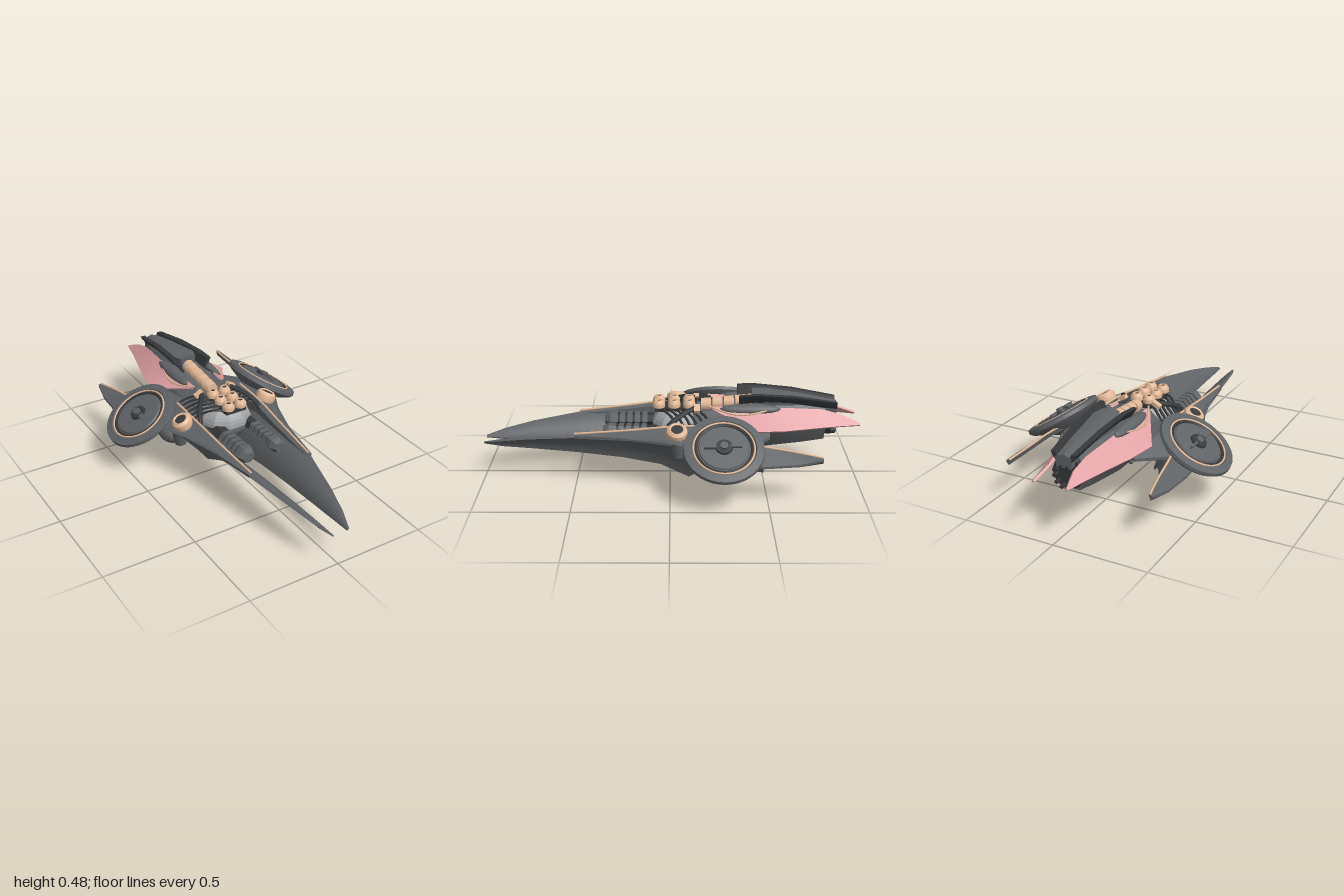
import * as THREE from 'three';
import { toCreasedNormals, mergeGeometries } from 'three/addons/utils/BufferGeometryUtils.js';

const V = (p) => new THREE.Vector3(...p);
const mat = (name, color) => {
  const m = new THREE.MeshStandardMaterial({ color });
  m.name = name;
  return m;
};

// Skin between closed rings of points, capped at both ends, turned outward.
function loft(rings, crease = 0.5) {
  const pos = [], n = rings[0].length;
  const tri = (a, b, c) => pos.push(...a, ...b, ...c);
  for (let i = 0; i < rings.length - 1; i++) {
    for (let j = 0; j < n; j++) {
      const k = (j + 1) % n, A = rings[i], B = rings[i + 1];
      tri(A[j], B[j], B[k]);
      tri(A[j], B[k], A[k]);
    }
  }
  // caps as strips, so that long thin curved sections stay filled
  const cap = (r, flip) => {
    for (let a = 0, b = n - 1; b - a > 1; a++, b--) {
      const quad = [[r[a], r[a + 1], r[b]], [r[a + 1], r[b - 1], r[b]]];
      for (const [p, q, s] of quad) flip ? tri(p, s, q) : tri(p, q, s);
    }
  };
  cap(rings[0], false);
  cap(rings[rings.length - 1], true);
  let vol = 0;
  for (let i = 0; i < pos.length; i += 9) {
    vol += V(pos.slice(i, i + 3)).dot(V(pos.slice(i + 3, i + 6)).cross(V(pos.slice(i + 6, i + 9))));
  }
  const g = new THREE.BufferGeometry();
  g.setAttribute('position', new THREE.Float32BufferAttribute(pos, 3));
  if (vol < 0) flipFaces(g);
  return toCreasedNormals(g, crease);
}

function flipFaces(g) {
  for (const a of Object.values(g.attributes)) {
    const s = a.itemSize, d = a.array;
    for (let i = 0; i < a.count; i += 3) {
      for (let c = 0; c < s; c++) {
        const p = (i + 1) * s + c, q = (i + 2) * s + c;
        [d[p], d[q]] = [d[q], d[p]];
      }
    }
  }
}

// Mirror image across x = 0 with faces still turned outward.
function mirrored(geo) {
  const g = geo.index ? geo.toNonIndexed() : geo.clone();
  g.scale(-1, 1, 1);
  flipFaces(g);
  return g;
}

const tube = (pts, r, seg = 16, sides = 6) =>
  new THREE.TubeGeometry(new THREE.CatmullRomCurve3(pts.map(V)), seg, r, sides);
const box = (w, h, d, x, y, z) => new THREE.BoxGeometry(w, h, d).translate(x, y, z);
const cyl = (r1, r2, h, n, y = 0) => new THREE.CylinderGeometry(r1, r2, h, n).translate(0, y, 0);
const lathe = (pts, n = 40) =>
  toCreasedNormals(new THREE.LatheGeometry(pts.map((p) => new THREE.Vector2(...p)), n), 0.6);
const ringGeo = (r, t, y) => new THREE.TorusGeometry(r, t, 6, 40).rotateX(Math.PI / 2).translate(0, y, 0);

export function createModel() {
  const group = new THREE.Group();
  const hull = mat('hull grey', 0x606366), dark = mat('dark metal', 0x36383a);
  const tan = mat('tan trim', 0xe4ba98), pink = mat('pink panel', 0xe0a1a4);
  const glass = mat('light grey', 0xa0a2a4);
  const add = (name, geo, m) => {
    const mesh = new THREE.Mesh(geo, m);
    mesh.name = name;
    group.add(mesh);
  };
  const pair = (name, geo, m) => {
    add('left' + name, geo, m);
    add('right' + name, mirrored(geo), m);
  };

  // Curved blades: z, outer edge x y, keel edge x y
  const blade = [
    [1, .05, .19, .04, .18], [.9, .085, .215, .045, .17], [.75, .125, .243, .047, .16],
    [.5, .18, .275, .052, .14], [.25, .225, .29, .058, .112], [.05, .285, .297, .064, .075],
    [-.1, .36, .297, .068, .003], [-.15, .362, .292, .1, .045], [-.2, .36, .28, .135, .08],
    [-.32, .355, .25, .21, .12], [-.48, .32, .17, .29, .13],
  ];
  pair('Blade', loft(blade.map(([z, ox, oy, ix, iy]) => {
    const top = [], bottom = [], dx = ox - ix, dy = oy - iy, len = Math.hypot(dx, dy);
    for (let i = 0; i <= 8; i++) {
      const t = i / 8, b = 0.55 * t * (1 - t), h = Math.min(.007, len * .2);
      const x = ix + dx * t - dy * b, y = iy + dy * t + dx * b;
      top.push([x - dy / len * h, y + dx / len * h, z]);
      bottom.unshift([x + dy / len * h, y - dx / len * h, z]);
    }
    return [...top, ...bottom];
  })), hull);

  // Shoulder fairings: z, inner x, ridge x, outer x, low y, high y
  const fairing = [
    [.5, .16, .172, .188, .268, .286], [.2, .165, .19, .238, .275, .315], [0, .175, .2, .3, .275, .338],
    [-.2, .12, .2, .34, .26, .345], [-.4, .12, .19, .31, .25, .315], [-.52, .12, .15, .18, .26, .29],
  ];
  pair('Shoulder', loft(fairing.map(([z, a, b, c, lo, hi]) =>
    [[a, lo, z], [a, hi - .012, z], [b, hi, z], [c, lo + .015, z], [c, lo, z]])), hull);
  pair('ShoulderTrim', tube(fairing.slice(0, 4).map((f) => [f[2], f[5] + .002, f[0]]), .006), tan);

  // Central body: z, half width, low y, high y
  const body = [
    [-.1, .11, .19, .35], [-.3, .15, .185, .395], [-.5, .15, .185, .405],
    [-.7, .115, .2, .405], [-.82, .085, .212, .395],
  ];
  add('body', loft(body.map(([z, w, lo, hi]) => {
    const m = (lo + hi) / 2;
    return [[w * .45, hi, z], [w * .9, m + .04, z], [w, m - .01, z], [w * .55, lo, z],
      [-w * .55, lo, z], [-w, m - .01, z], [-w * .9, m + .04, z], [-w * .45, hi, z]];
  })), hull);
  add('noseBall', new THREE.SphereGeometry(1, 16, 10).scale(.13, .075, .125).translate(0, .262, -.03), hull);
  add('windscreen', toCreasedNormals(new THREE.SphereGeometry(1, 10, 8, 0, Math.PI * 2, 0, Math.PI / 2)
    .scale(.145, .105, .135).translate(0, .283, -.035), .2), glass);

  // Roof ridge and its dark rails
  const roof = [[-.43, .045, .48], [-.5, .07, .475], [-.7, .055, .45], [-.88, .045, .415]];
  add('roof', loft(roof.map(([z, w, y]) =>
    [[0, y, z], [w, y - .014, z], [w * .9, y - .07, z], [-w * .9, y - .07, z], [-w, y - .014, z]])), hull);
  const rail = [[-.36, .082, .105, .47], [-.45, .07, .1, .474], [-.65, .055, .088, .458], [-.88, .042, .068, .42]];
  pair('RoofRail', loft(rail.map(([z, a, b, y]) =>
    [[a, y, z], [b, y, z], [b - .008, y - .018, z], [a - .008, y - .052, z], [a - .02, y - .05, z]])), dark);

  // Rear pink panels: z, upper x y, lower x y
  const panel = [
    [-.22, .085, .41, .105, .4], [-.3, .09, .412, .15, .372], [-.45, .095, .41, .235, .325],
    [-.6, .092, .404, .2, .316], [-.8, .075, .39, .145, .314], [-.9, .068, .36, .118, .312],
    [-1, .09, .318, .098, .31],
  ];
  pair('RearPanel', loft(panel.map(([z, a, b, c, d]) =>
    [[a, b, z], [c, d, z], [c - .008, d - .008, z], [a - .008, b - .008, z]])), pink);
  pair('PanelBulge', new THREE.SphereGeometry(1, 16, 10).scale(.032, .022, .16)
    .rotateZ(-.5).translate(.102, .402, -.42), hull);
  pair('PanelTrim', tube([[.085, .413, -.2], [.12, .396, -.27], [.145, .384, -.36], [.135, .392, -.46], [.1, .41, -.56]], .005), tan);

  // Rear exhaust with a ring of pipes
  add('exhaust', new THREE.CylinderGeometry(.085, .075, .05, 8).rotateX(-Math.PI / 2)
    .translate(0, .305, -.825), dark);
  const pipes = [];
  for (let i = 0; i < 10; i++) {
    const a = i / 10 * Math.PI * 2;
    pipes.push(new THREE.CylinderGeometry(.01, .01, .1, 6).rotateX(Math.PI / 2)
      .translate(Math.cos(a) * .055, .295 + Math.sin(a) * .055, -.832));
  }
  add('exhaustPipes', mergeGeometries(pipes), dark);

  // Tilted side discs
  const disc = (g) => g.rotateZ(-.555).translate(.392, .296, -.27);
  pair('Disc', disc(lathe([[0, -.11], [.06, -.09], [.19, -.024], [.205, -.008],
    [.202, .01], [.165, .016], [.16, .008], [.13, .008], [.125, .016], [.06, .018], [0, .018]])), hull);
  pair('DiscGroove', disc(ringGeo(.143, .01, .006)), dark);
  pair('DiscTrim', disc(ringGeo(.154, .005, .014)), tan);
  pair('DiscHub', disc(cyl(.042, .045, .012, 24, .022)), dark);
  pair('DiscBar', disc(mergeGeometries([box(.026, .016, .06, 0, .028, .07), box(.01, .014, .06, 0, .027, -.06),
    cyl(.02, .02, .03, 12, .026)])), hull);
  pair('UnderPod', new THREE.SphereGeometry(1, 16, 10).scale(.06, .055, .095).translate(.245, .175, -.215), hull);

  // Swept fins behind the discs, with a trim line
  const fin = [[-.32, .3, .3, .43, .22], [-.47, .335, .29, .432, .21], [-.65, .362, .268, .428, .22], [-.77, .385, .25, .405, .238]];
  pair('Fin', loft(fin.map(([z, a, b, c, d]) =>
    [[a, b, z], [c, d + .008, z], [c, d - .004, z], [a + .008, b - .03, z]])), hull);
  pair('FinTrim', tube(fin.map(([z, a, b]) => [a + .005, b - .001, z]), .006), tan);

  // Tan cups on pods
  const cup = (g) => g.rotateZ(-.45).translate(.265, .338, -.035);
  pair('Cup', cup(lathe([[.05, -.03], [.056, -.008], [.052, .012], [.038, .024], [.031, .02], [.03, 0]], 20)), tan);
  pair('CupCore', cup(cyl(.032, .032, .01, 16, .012)), dark);
  pair('Pod', lathe([[0, -.045], [.03, -.035], [.05, .06], [0, .08]], 16).translate(.272, .238, -.042), hull);

  // Six-sided engine blocks ahead of the body, with raised ribs on the rear part
  const prism = (r1, r2, z0, z1) => toCreasedNormals(new THREE.CylinderGeometry(r1, r2, z1 - z0, 6)
    .rotateX(Math.PI / 2).scale(1, .82, 1).rotateZ(-.4).translate(.094, .27, (z0 + z1) / 2), .3);
  const ribs = [];
  for (let i = 0; i < 4; i++) ribs.push(prism(.05, .05, .125 + i * .04, .152 + i * .04));
  pair('EngineRibs', mergeGeometries(ribs), hull);
  pair('EngineCore', prism(.042, .042, 0, .29), dark);
  pair('EngineNose', mergeGeometries([prism(.052, .052, .285, .325), prism(.034, .052, .325, .355)]), hull);

  // Tan valves in two rows and a segmented spine
  const valves = [], cores = [], spine = [];
  for (let i = 0; i < 3; i++) {
    valves.push(lathe([[.02, -.04], [.02, -.025], [.033, -.015], [.033, .006], [.022, .022], [.014, .024], [.012, .01]], 12)
      .translate(.036, .405, .06 - i * .08));
    cores.push(cyl(.013, .013, .01, 10).translate(.036, .418, .06 - i * .08));
  }
  pair('Valves', mergeGeometries(valves), tan);
  pair('ValveCores', mergeGeometries(cores), dark);
  for (let i = 0; i < 5; i++) {
    spine.push(new THREE.CylinderGeometry(.033, .038, .052, 10).rotateX(Math.PI / 2).translate(0, .39 + i * .006, -.19 - i * .06));
  }
  add('spine', mergeGeometries(spine), tan);
  add('valveBed', box(.12, .02, .22, 0, .377, -.03), dark);
  pair('TanBlock', new THREE.BoxGeometry(.05, .02, .03).rotateZ(-.5).translate(.1, .402, -.14), tan);

  // Cables and arched arms joining body and shoulders
  const cables = [];
  for (let i = 0; i < 6; i++) {
    const z = .05 - i * .036;
    cables.push(tube([[.05, .375, z], [.09, .385, z - .02], [.14, .365, z - .06], [.2, .325, z - .09]], .007, 12));
  }
  pair('Cables', mergeGeometries(cables), dark);
  pair('Arm', tube([[.19, .28, .04], [.178, .33, .01], [.145, .375, -.05], [.08, .405, -.14]], .014), dark);
  return group;
}
